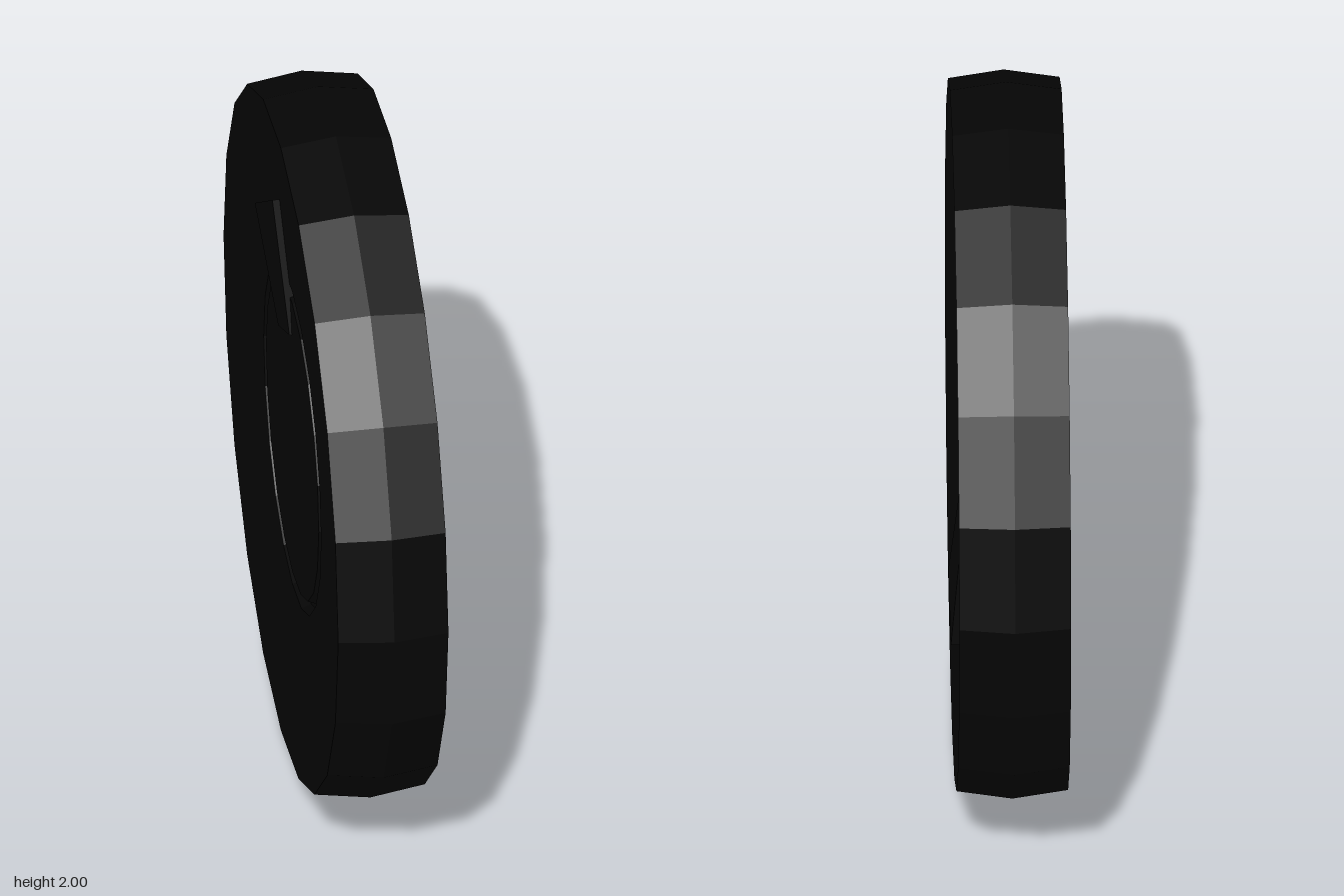
import * as THREE from 'three';

export function createModel() {
  const group = new THREE.Group();
  group.name = 'puck';
  const rubber = new THREE.MeshStandardMaterial({ color: 0x060606 });
  rubber.name = 'blackRubber';

  const add = (geometry, name) => {
    const flat = geometry.index ? geometry.toNonIndexed() : geometry;
    flat.computeVertexNormals();
    const mesh = new THREE.Mesh(flat, rubber);
    mesh.name = name;
    group.add(mesh);
  };

  // Twenty-sided disc: ridged rim, faces dished towards a ring groove around a flat hub
  const hub = 0.121, floor = 0.093;
  const side = [[0.978, 0.153], [0.49, hub], [0.48, floor], [0.46, floor], [0.45, hub], [0, hub]];
  const profile = [
    ...side.slice().reverse().map(([r, h]) => new THREE.Vector2(r, -h)),
    new THREE.Vector2(1, 0),
    ...side.map(([r, h]) => new THREE.Vector2(r, h)),
  ];
  const disc = new THREE.LatheGeometry(profile, 20);
  disc.rotateZ(-Math.PI / 2);
  disc.translate(0, 1, 0);
  add(disc, 'disc');

  // Four-cornered plates on the faces, sloping down towards the hub
  const plate = (corners, dir, name) => {
    const shape = new THREE.Shape(corners.map(([u, y]) => new THREE.Vector2(u, y)));
    const geometry = new THREE.ExtrudeGeometry(shape, { depth: 0.04, bevelEnabled: false });
    geometry.translate(0, 0, 0.117);
    const pos = geometry.attributes.position;
    for (let i = 0; i < pos.count; i++) {
      const inner = Math.hypot(pos.getX(i), pos.getY(i) - 1) < 0.5;
      if (inner) pos.setZ(i, pos.getZ(i) - 0.029);
    }
    geometry.rotateY(dir * Math.PI / 2);
    add(geometry, name);
  };
  plate([[-0.32, 0.35], [0.03, 0.33], [0.01, 0.67], [-0.166, 0.72]], 1, 'leftPlate');
  plate([[-0.12, 1.72], [-0.42, 1.5], [-0.2, 1.24], [-0.01, 1.34]], -1, 'rightPlate');

  return group;
}
